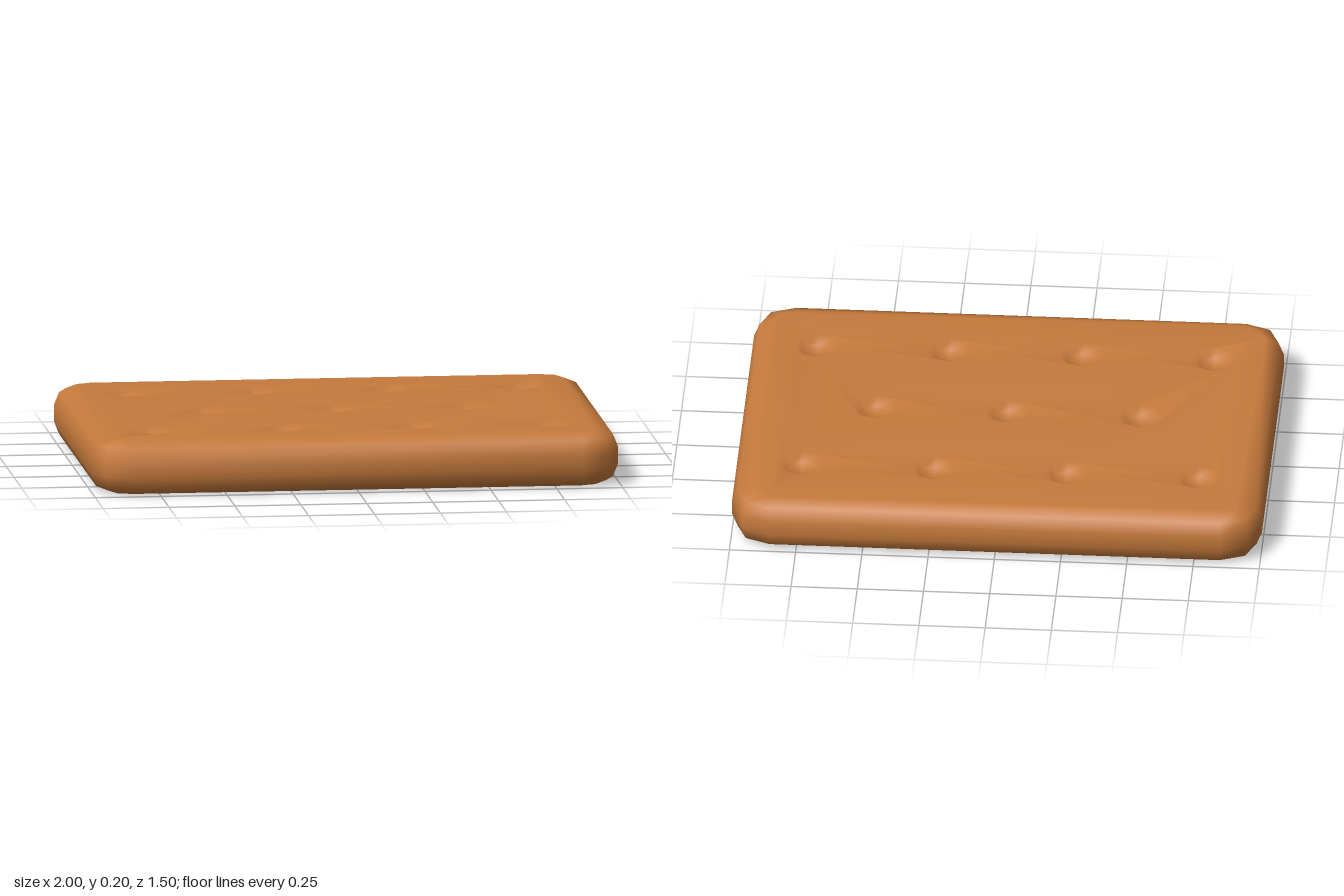
import * as THREE from 'three';
import { mergeVertices } from 'three/addons/utils/BufferGeometryUtils.js';

const HALF_X = 1, HALF_Z = 0.75, HEIGHT = 0.2, BEVEL = 0.07, CORNER = 0.15;

// Rounded rectangle loop, counter-clockwise seen from above
function outline(inset, y) {
  const r = CORNER - inset, loop = [];
  const cx = HALF_X - CORNER, cz = HALF_Z - CORNER;
  [[1, 1], [-1, 1], [-1, -1], [1, -1]].forEach(([sx, sz], q) => {
    for (let i = 0; i <= 2; i++) {
      const a = (q + i / 2) * Math.PI / 2;
      loop.push(new THREE.Vector3(sx * cx + r * Math.cos(a), y, -(sz * cz + r * Math.sin(a))));
    }
  });
  return loop;
}

function circle(x, z, r, y, sides = 8) {
  return Array.from({ length: sides }, (_, i) => {
    const a = i / sides * Math.PI * 2;
    return new THREE.Vector3(x + r * Math.cos(a), y, z - r * Math.sin(a));
  });
}

// Collects points and faces of one continuous smooth surface
function createSurface() {
  const points = [], index = [];
  const add = loop => loop.map(p => points.push(p.x, p.y, p.z) / 3 - 1);
  // Skin between successive loops, then close to an optional centre point
  function loft(loops, centre) {
    const ids = loops.map(add);
    const n = loops[0].length;
    for (let k = 0; k + 1 < ids.length; k++) {
      for (let j = 0; j < n; j++) {
        const m = (j + 1) % n, lo = ids[k], hi = ids[k + 1];
        index.push(lo[j], lo[m], hi[m], lo[j], hi[m], hi[j]);
      }
    }
    if (centre) {
      const c = add([centre])[0], last = ids[ids.length - 1];
      for (let j = 0; j < n; j++) index.push(last[j], last[(j + 1) % n], c);
    }
  }
  // Flat upward face with holes
  function plate(loop, holes) {
    const flat = l => l.map(p => new THREE.Vector2(p.x, -p.z));
    const faces = THREE.ShapeUtils.triangulateShape(flat(loop), holes.map(h => flat(h).reverse()));
    const ids = add([...loop, ...holes.flatMap(h => [...h].reverse())]);
    faces.forEach(f => index.push(ids[f[0]], ids[f[1]], ids[f[2]]));
  }
  function build() {
    const g = new THREE.BufferGeometry();
    g.setAttribute('position', new THREE.Float32BufferAttribute(points, 3));
    g.setIndex(index);
    const merged = mergeVertices(g, 1e-4);
    merged.computeVertexNormals();
    return merged;
  }
  return { loft, plate, build };
}

export function createModel() {
  const group = new THREE.Group();
  group.name = 'biscuit';
  const baked = new THREE.MeshStandardMaterial({ color: 0xc67a3c });
  baked.name = 'baked brown';
  const surface = createSurface();

  // Rounded sides, from the underside up to the top face
  const edge = [[BEVEL, 0], [0.02, 0.02], [0, BEVEL], [0, HEIGHT - BEVEL], [0.02, HEIGHT - 0.02], [BEVEL, HEIGHT]];
  const rings = edge.map(([inset, y]) => outline(inset, y));
  surface.loft(rings);

  // Flat underside
  surface.loft([[...rings[0]].reverse()], new THREE.Vector3(0, 0, 0));

  // Three staggered rows of dimples pressed into the top
  const spots = [];
  for (const z of [-0.43, 0, 0.43]) {
    const row = z === 0 ? [-0.5, 0, 0.5] : [-0.75, -0.25, 0.25, 0.75];
    row.forEach(x => spots.push([x, z]));
  }
  const rims = spots.map(([x, z]) => circle(x, z, 0.085, HEIGHT));
  surface.plate(rings[rings.length - 1], rims);
  spots.forEach(([x, z], i) => surface.loft(
    [rims[i], circle(x, z, 0.055, HEIGHT - 0.03)],
    new THREE.Vector3(x, HEIGHT - 0.04, z)
  ));

  const body = new THREE.Mesh(surface.build(), baked);
  body.name = 'dimpledBiscuit';
  group.add(body);
  return group;
}
